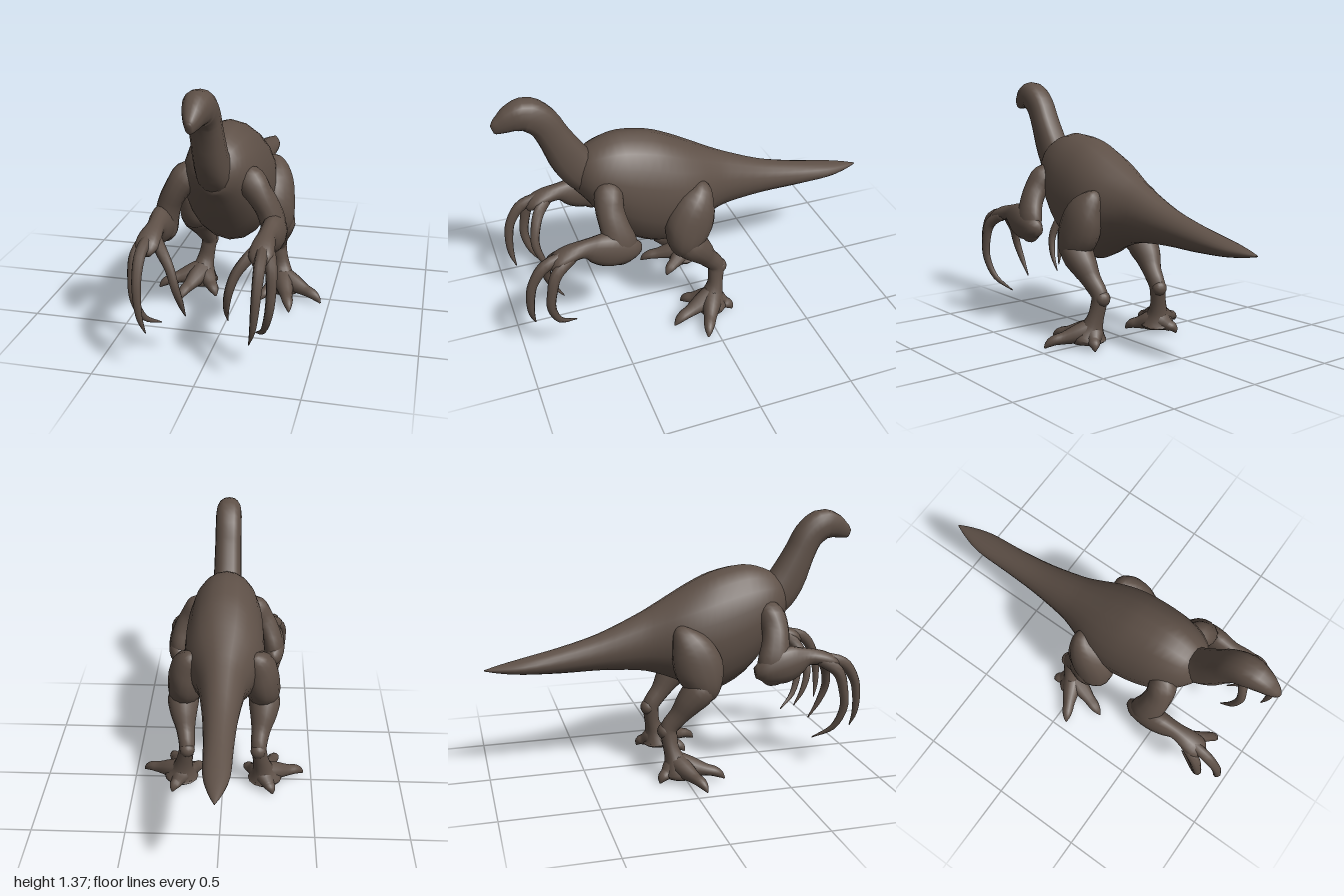
import * as THREE from 'three';

const X_AXIS = new THREE.Vector3(1, 0, 0);
const V = (x, y, z) => new THREE.Vector3(x, y, z);

// Skin through elliptical sections [x, y, z, half-width, half-height].
// axis fixes the ring plane; without it rings follow the path. ref is the half-width direction.
// power below 1 makes the sections boxier.
function loft(sections, { sides = 14, sub = 4, axis = null, ref = X_AXIS, power = 1 } = {}) {
  const spine = new THREE.CatmullRomCurve3(sections.map(s => V(s[0], s[1], s[2])), false, 'catmullrom', 0.5);
  const radii = new THREE.CatmullRomCurve3(sections.map(s => V(s[3], s[4], 0)), false, 'catmullrom', 0.5);
  const n = (sections.length - 1) * sub;
  const pos = [], idx = [];
  const bend = v => Math.sign(v) * Math.abs(v) ** power;
  for (let i = 0; i <= n; i++) {
    const p = spine.getPoint(i / n), r = radii.getPoint(i / n);
    const t = axis ? axis.clone() : spine.getTangent(i / n);
    const side = ref.clone().addScaledVector(t, -ref.dot(t)).normalize();
    const up = t.clone().cross(side);
    for (let j = 0; j < sides; j++) {
      const a = (j / sides) * Math.PI * 2;
      const q = p.clone()
        .addScaledVector(side, bend(Math.cos(a)) * Math.max(r.x, 0.001))
        .addScaledVector(up, bend(Math.sin(a)) * Math.max(r.y, 0.001));
      pos.push(q.x, q.y, q.z);
    }
  }
  for (let i = 0; i < n; i++) {
    for (let j = 0; j < sides; j++) {
      const k = (j + 1) % sides;
      const a = i * sides + j, b = i * sides + k, c = a + sides, d = b + sides;
      idx.push(a, b, c, b, d, c);
    }
  }
  // End caps
  const first = sections[0], last = sections[sections.length - 1];
  const c0 = pos.length / 3;
  pos.push(first[0], first[1], first[2], last[0], last[1], last[2]);
  for (let j = 0; j < sides; j++) {
    const k = (j + 1) % sides;
    idx.push(c0, k, j, c0 + 1, n * sides + j, n * sides + k);
  }
  const geo = new THREE.BufferGeometry();
  geo.setAttribute('position', new THREE.Float32BufferAttribute(pos, 3));
  geo.setIndex(idx);
  geo.computeVertexNormals();
  return geo;
}

export function createModel() {
  const model = new THREE.Group();
  model.name = 'dinosaur';
  const skin = new THREE.MeshStandardMaterial({ color: 0x5e5047 });
  skin.name = 'brown skin';

  const add = (parent, name, geo) => {
    const mesh = new THREE.Mesh(geo, skin);
    mesh.name = name;
    parent.add(mesh);
    return mesh;
  };
  const blob = (parent, name, [x, y, z], [rx, ry, rz]) => {
    const mesh = add(parent, name, new THREE.SphereGeometry(1, 14, 10));
    mesh.position.set(x, y, z);
    mesh.scale.set(rx, ry, rz);
  };

  // Torso and tail: [z, top, bottom, half-width]
  const trunk = [
    [0.63, 0.93, 0.82, 0.04], [0.58, 1.02, 0.76, 0.115], [0.50, 1.07, 0.64, 0.17],
    [0.38, 1.096, 0.50, 0.205], [0.22, 1.068, 0.417, 0.22], [0.10, 1.015, 0.435, 0.215],
    [0, 0.96, 0.49, 0.19], [-0.10, 0.905, 0.53, 0.15], [-0.20, 0.853, 0.555, 0.12],
    [-0.40, 0.765, 0.57, 0.09], [-0.60, 0.706, 0.57, 0.075], [-0.80, 0.66, 0.578, 0.066],
    [-0.92, 0.634, 0.592, 0.036], [-1, 0.614, 0.608, 0.003],
  ].map(([z, top, bottom, w]) => [0, (top + bottom) / 2, z, w, (top - bottom) / 2]);
  add(model, 'torsoAndTail', loft(trunk, { sides: 20, sub: 3, axis: V(0, 0, -1) }));

  // Neck curving into the beaked head
  add(model, 'neckAndHead', loft([
    [0, 0.80, 0.47, 0.04, 0.05], [0, 0.89, 0.55, 0.08, 0.10], [0, 0.995, 0.632, 0.079, 0.101],
    [0, 1.14, 0.705, 0.075, 0.082], [0, 1.235, 0.755, 0.074, 0.08], [0, 1.29, 0.825, 0.073, 0.082],
    [0, 1.286, 0.89, 0.06, 0.071], [0, 1.262, 0.945, 0.041, 0.05], [0, 1.245, 0.98, 0.024, 0.034],
    [0, 1.24, 0.995, 0.012, 0.022],
  ], { sides: 16, sub: 3, power: 0.85 }));

  for (const s of [1, -1]) {
    const label = s > 0 ? 'left' : 'right';
    const m = list => list.map(([x, ...rest]) => [x * s, ...rest]);

    // Arm
    const arm = new THREE.Group();
    arm.name = label + 'Arm';
    model.add(arm);
    add(arm, 'upperArm', loft(m([
      [0.10, 0.89, 0.47, 0.04, 0.04], [0.155, 0.85, 0.49, 0.075, 0.072], [0.205, 0.785, 0.5, 0.064, 0.072],
      [0.245, 0.71, 0.49, 0.06, 0.076], [0.27, 0.62, 0.475, 0.06, 0.09], [0.27, 0.54, 0.475, 0.05, 0.075],
      [0.27, 0.50, 0.48, 0.02, 0.035],
    ]), { sub: 3 }));
    add(arm, 'forearm', loft(m([
      [0.27, 0.57, 0.37, 0.022, 0.03], [0.275, 0.58, 0.42, 0.052, 0.066], [0.278, 0.6, 0.51, 0.06, 0.097],
      [0.275, 0.62, 0.59, 0.054, 0.086], [0.27, 0.636, 0.66, 0.044, 0.048], [0.27, 0.625, 0.74, 0.056, 0.04],
      [0.27, 0.60, 0.80, 0.058, 0.034], [0.27, 0.57, 0.835, 0.03, 0.018],
    ]), { sub: 3 }));

    // Three long sickle claws
    const claws = {
      outerClaw: [[0.29, 0.625, 0.72], [0.322, 0.56, 0.815], [0.33, 0.46, 0.848], [0.322, 0.35, 0.858],
        [0.29, 0.235, 0.815], [0.235, 0.165, 0.72]],
      middleClaw: [[0.27, 0.63, 0.72], [0.28, 0.592, 0.86], [0.28, 0.50, 0.93], [0.275, 0.40, 0.952],
        [0.265, 0.30, 0.952], [0.245, 0.22, 0.935]],
      innerClaw: [[0.25, 0.62, 0.73], [0.205, 0.575, 0.785], [0.158, 0.51, 0.82], [0.128, 0.42, 0.835],
        [0.11, 0.32, 0.805], [0.105, 0.23, 0.75]],
    };
    const clawRadius = [0.032, 0.032, 0.027, 0.023, 0.016, 0.003];
    for (const [name, path] of Object.entries(claws)) {
      add(arm, name, loft(m(path.map((p, i) => [...p, clawRadius[i] * 0.9, clawRadius[i]])), { sides: 8, sub: 4 }));
    }

    // Leg
    const leg = new THREE.Group();
    leg.name = label + 'Leg';
    model.add(leg);
    add(leg, 'thigh', loft(m([
      [0.15, 0.81, -0.01, 0.02, 0.02], [0.175, 0.775, 0.005, 0.065, 0.062], [0.2, 0.70, 0.045, 0.09, 0.112],
      [0.212, 0.60, 0.083, 0.095, 0.13], [0.22, 0.51, 0.11, 0.088, 0.10], [0.222, 0.45, 0.12, 0.06, 0.06],
      [0.222, 0.425, 0.12, 0.02, 0.02],
    ]), { sub: 3 }));
    add(leg, 'shank', loft(m([
      [0.222, 0.56, 0.125, 0.055, 0.05], [0.225, 0.49, 0.085, 0.086, 0.086], [0.22, 0.425, 0.03, 0.074, 0.074],
      [0.208, 0.355, -0.02, 0.053, 0.054], [0.198, 0.285, -0.075, 0.044, 0.048], [0.205, 0.225, -0.075, 0.042, 0.043],
      [0.216, 0.165, -0.066, 0.047, 0.042], [0.226, 0.11, -0.05, 0.062, 0.058], [0.235, 0.055, -0.035, 0.095, 0.085],
      [0.235, 0.03, -0.035, 0.085, 0.075],
    ]), { sub: 3 }));
    blob(leg, 'ankleKnob', [0.195 * s, 0.267, -0.1], [0.042, 0.042, 0.038]);

    // Toes fan out from the ankle and end in claws
    const toes = { outerToe: [0.455, 0.062], middleToe: [0.305, 0.2], innerToe: [0.12, 0.10], backToe: [0.28, -0.145] };
    const base = [0.225, -0.05];
    for (const [name, [tx, tz]] of Object.entries(toes)) {
      const dx = (tx - base[0]) * s, dz = tz - base[1];
      const len = Math.hypot(dx, dz), small = name === 'backToe' || name === 'innerToe';
      const steps = [[0, 0.105, 0.055, 0.055], [0.3, 0.08, 0.05, 0.05], [0.6, 0.06, 0.034, 0.033],
        [0.78, 0.052, 0.03, 0.027], [0.91, 0.035, 0.02, 0.02], [1, 0.012, 0.004, 0.004]];
      const path = steps.map(([t, y, w, h]) => [base[0] * s + dx * t, small ? y * 0.82 : y, base[1] + dz * t, w, h]);
      add(leg, name, loft(path, { sides: 10, sub: 3, ref: V(dz / len, 0, -dx / len) }));
    }
  }
  return model;
}
